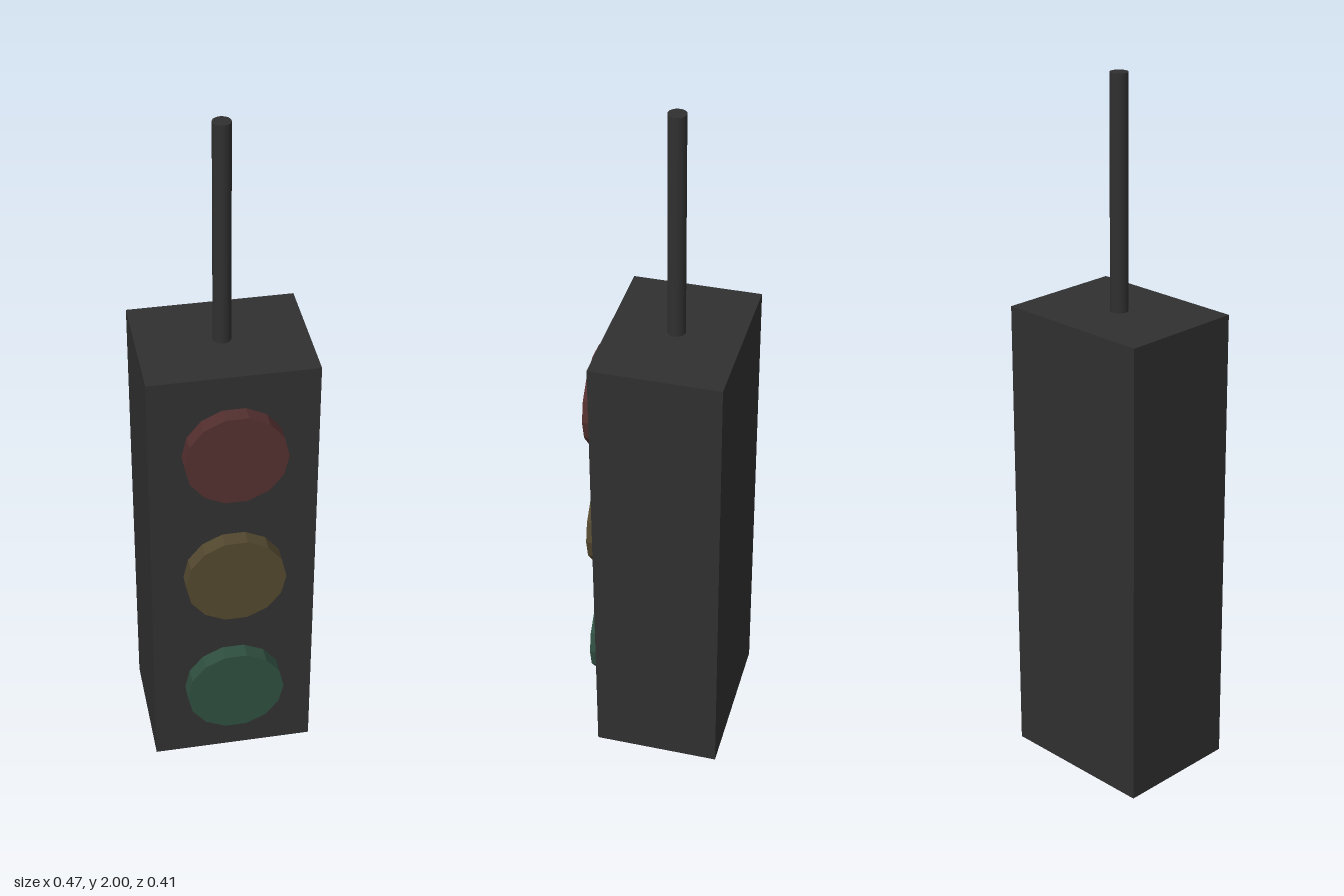
import * as THREE from 'three';

const material = (name, color) => {
  const m = new THREE.MeshStandardMaterial({ color });
  m.name = name;
  return m;
};

export function createModel() {
  const group = new THREE.Group();
  group.name = 'trafficLight';

  const charcoal = material('charcoal', 0x303030);
  const add = (name, geometry, mat, x, y, z) => {
    const mesh = new THREE.Mesh(geometry, mat);
    mesh.name = name;
    mesh.position.set(x, y, z);
    group.add(mesh);
  };

  // Housing and the rod it hangs from
  add('housing', new THREE.BoxGeometry(0.465, 1.355, 0.361), charcoal, 0, 0.6775, -0.0235);
  add('rod', new THREE.CylinderGeometry(0.025, 0.025, 0.65, 14), charcoal, 0, 1.675, -0.0235);

  // Three 14-sided lamps, corners pointing left and right, sunk slightly into the housing
  const lampGeometry = new THREE.CylinderGeometry(0.142, 0.142, 0.056, 14)
    .rotateY(Math.PI / 2)
    .rotateX(Math.PI / 2)
    .toNonIndexed();
  lampGeometry.computeVertexNormals();
  const lamps = [
    ['redLamp', 'dark red', 0x532f2f, 1.113],
    ['amberLamp', 'dark amber', 0x53482f, 0.688],
    ['greenLamp', 'dark green', 0x2f4f40, 0.26],
  ];
  for (const [name, colorName, color, y] of lamps) {
    add(name, lampGeometry, material(colorName, color), 0, y, 0.175);
  }

  return group;
}
